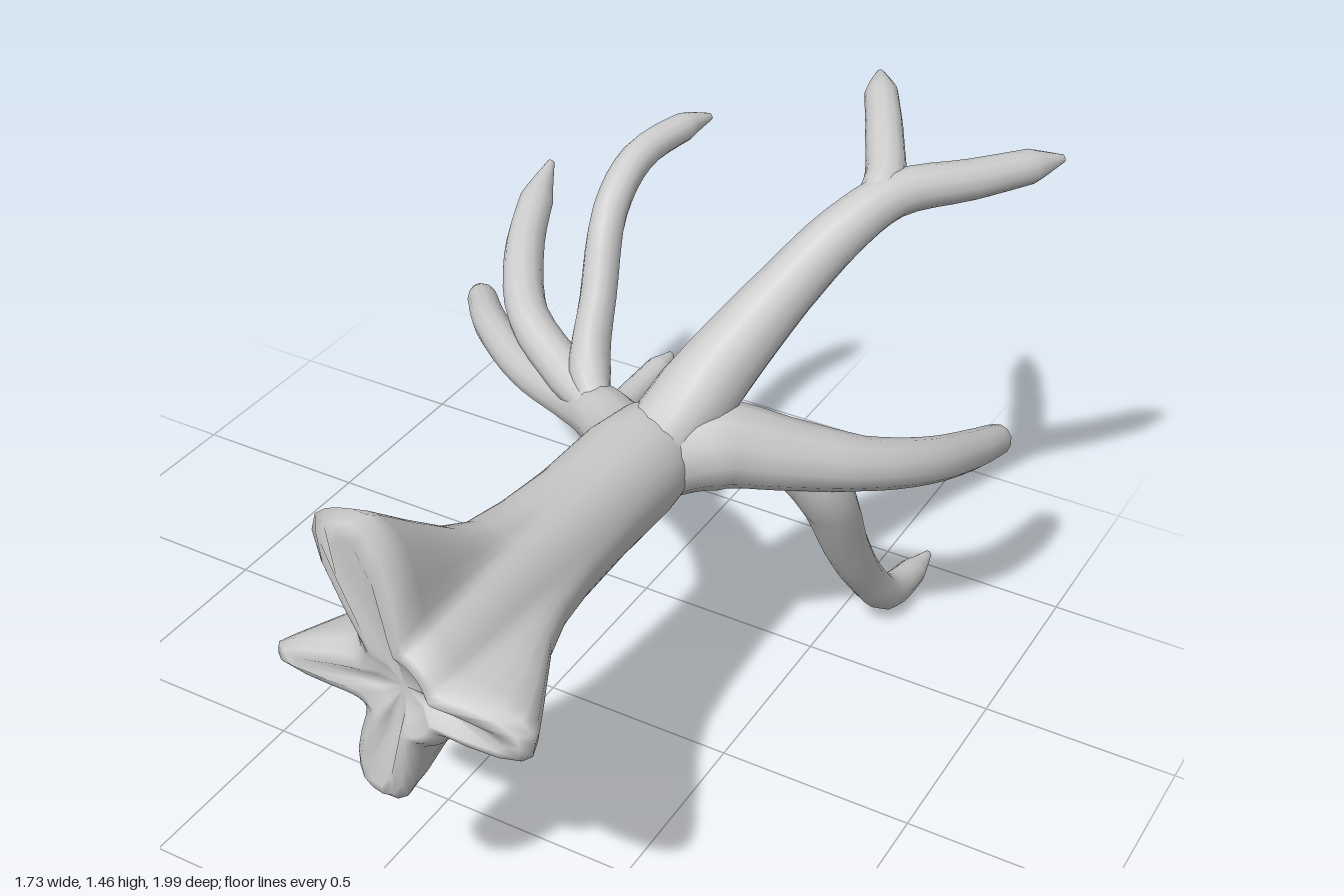
import * as THREE from 'three';

const material = new THREE.MeshStandardMaterial({ color: 0xcccccc });

// Closed skin over rings of points that run counterclockwise about the direction of travel
function skin(rings, startCentre, endCentre) {
  const n = rings[0].length, last = (rings.length - 1) * n;
  const points = [...rings.flat(), startCentre, endCentre];
  const s = points.length - 2, e = s + 1, index = [];
  for (let i = 0; i < rings.length - 1; i++) {
    for (let j = 0; j < n; j++) {
      const k = (j + 1) % n;
      const a = i * n + j, b = i * n + k, c = b + n, d = a + n;
      index.push(a, b, c, a, c, d);
    }
  }
  for (let j = 0; j < n; j++) {
    const k = (j + 1) % n;
    index.push(s, k, j, e, last + j, last + k);
  }
  const geometry = new THREE.BufferGeometry().setFromPoints(points);
  geometry.setIndex(index);
  geometry.computeVertexNormals();
  return geometry;
}

// Tapered limb through stations [x, y, z, radius]
function limb(name, stations) {
  const curve = new THREE.CatmullRomCurve3(stations.map(([x, y, z]) => new THREE.Vector3(x, y, z)));
  const spans = stations.length - 1, steps = spans * 4, sides = 12;
  const up = new THREE.Vector3(0, 1, 0), rings = [];
  for (let i = 0; i <= steps; i++) {
    const t = i / steps, k = Math.min(Math.floor(t * spans), spans - 1);
    const r = THREE.MathUtils.lerp(stations[k][3], stations[k + 1][3], t * spans - k);
    const p = curve.getPoint(t), dir = curve.getTangent(t);
    const u = new THREE.Vector3().crossVectors(up, dir).normalize();
    const v = new THREE.Vector3().crossVectors(dir, u);
    rings.push(Array.from({ length: sides }, (_, j) => {
      const a = (j / sides) * Math.PI * 2;
      return p.clone().addScaledVector(u, r * Math.cos(a)).addScaledVector(v, r * Math.sin(a));
    }));
  }
  const mesh = new THREE.Mesh(skin(rings, curve.getPoint(0), curve.getPoint(1)), material);
  mesh.name = name;
  return mesh;
}

// Root lobes: angle in degrees, reach, half width in radians, bluntness
const roots = [
  [0, 0.335, 0.34, 3],
  [110, 0.43, 0.43, 4],
  [188, 0.36, 0.28, 1.5],
  [257, 0.335, 0.4, 3.2],
];

// Trunk that flares into four rounded roots at the front
function trunk() {
  const sides = 72;
  // z, centre x, centre y, radius, root flare, root width
  const stations = [
    [-0.25, 0.23, 0.77, 0.03, 0, 1],
    [-0.2, 0.225, 0.77, 0.085, 0, 1],
    [-0.12, 0.215, 0.765, 0.122, 0, 1],
    [0, 0.205, 0.757, 0.136, 0, 1],
    [0.2, 0.2, 0.755, 0.136, 0, 1],
    [0.4, 0.195, 0.755, 0.144, 0.03, 1],
    [0.55, 0.195, 0.755, 0.15, 0.1, 1],
    [0.67, 0.197, 0.76, 0.154, 0.26, 1],
    [0.8, 0.2, 0.76, 0.156, 0.58, 1],
    [0.9, 0.2, 0.76, 0.152, 0.86, 1],
    [0.945, 0.2, 0.76, 0.142, 1, 0.97],
    [0.968, 0.2, 0.76, 0.12, 1, 0.78],
    [0.978, 0.2, 0.76, 0.1, 0.95, 0.5],
    [0.95, 0.2, 0.76, 0.06, 0.4, 0.5],
  ];
  const rings = stations.map(([z, cx, cy, radius, flare, spread]) =>
    Array.from({ length: sides }, (_, j) => {
      const a = (j / sides) * Math.PI * 2;
      let r = radius;
      for (const [deg, reach, width, blunt] of roots) {
        const d = a - THREE.MathUtils.degToRad(deg);
        const gap = Math.abs(Math.atan2(Math.sin(d), Math.cos(d)));
        r += flare * (reach - 0.142) * Math.exp(-Math.pow(gap / (width * spread), blunt));
      }
      return new THREE.Vector3(cx + Math.cos(a) * r, cy + Math.sin(a) * r, z + 0.02 * flare * Math.cos(a));
    }));
  const mesh = new THREE.Mesh(
    skin(rings, new THREE.Vector3(0.23, 0.77, -0.26), new THREE.Vector3(0.2, 0.76, 0.94)), material);
  mesh.name = 'trunkWithRoots';
  return mesh;
}

export function createModel() {
  const group = new THREE.Group();
  group.name = 'branchingTrunk';
  group.add(
    trunk(),
    // Upper left limb and its fork
    limb('upperLeftLimb', [
      [0.21, 0.75, 0.1, 0.07], [0.235, 0.8, -0.09, 0.095], [0.275, 0.885, -0.21, 0.103], [0.335, 1.0, -0.31, 0.09],
      [0.405, 1.12, -0.41, 0.076], [0.485, 1.24, -0.52, 0.067], [0.565, 1.31, -0.64, 0.057],
      [0.7, 1.32, -0.79, 0.05], [0.8, 1.325, -0.92, 0.043], [0.855, 1.33, -0.99, 0.01]]),
    limb('upperLeftTwig', [
      [0.48, 1.22, -0.51, 0.03], [0.535, 1.32, -0.63, 0.05], [0.475, 1.385, -0.77, 0.047],
      [0.4, 1.425, -0.91, 0.042], [0.36, 1.44, -0.99, 0.01]]),
    // Lower left limb and its fork
    limb('lowerLeftLimb', [
      [0.21, 0.75, 0.1, 0.06], [0.24, 0.76, -0.07, 0.1], [0.34, 0.775, -0.19, 0.113], [0.49, 0.74, -0.29, 0.09],
      [0.64, 0.695, -0.41, 0.068], [0.74, 0.64, -0.58, 0.06], [0.785, 0.575, -0.78, 0.052],
      [0.8, 0.53, -0.92, 0.042], [0.805, 0.5, -0.98, 0.01]]),
    limb('lowerLeftBranch', [
      [0.46, 0.75, -0.27, 0.05], [0.55, 0.6, -0.38, 0.073], [0.57, 0.38, -0.5, 0.06],
      [0.585, 0.2, -0.62, 0.051], [0.605, 0.075, -0.74, 0.05], [0.615, 0.045, -0.9, 0.038],
      [0.625, 0.055, -0.985, 0.01]]),
    // Right limb and its four branches
    limb('rightLimb', [
      [0.2, 0.75, 0.1, 0.07], [0.15, 0.705, -0.08, 0.1], [0.06, 0.67, -0.23, 0.09],
      [-0.06, 0.645, -0.34, 0.078], [-0.2, 0.605, -0.42, 0.06], [-0.4, 0.57, -0.53, 0.052],
      [-0.64, 0.54, -0.73, 0.05], [-0.78, 0.5, -0.9, 0.043], [-0.855, 0.47, -0.985, 0.01]]),
    limb('rightOuterBranch', [
      [0, 0.66, -0.28, 0.03], [-0.19, 0.68, -0.405, 0.06], [-0.38, 0.75, -0.51, 0.056],
      [-0.5, 0.825, -0.68, 0.054], [-0.57, 0.89, -0.86, 0.048], [-0.6, 0.945, -0.99, 0.01]]),
    limb('rightUpperBranch', [
      [-0.02, 0.65, -0.29, 0.03], [-0.13, 0.72, -0.4, 0.055], [-0.165, 0.88, -0.5, 0.048],
      [-0.2, 1.07, -0.62, 0.046], [-0.195, 1.165, -0.75, 0.044], [-0.145, 1.2, -0.91, 0.038],
      [-0.11, 1.205, -0.99, 0.01]]),
    limb('rightLowerBranch', [
      [-0.02, 0.66, -0.29, 0.03], [-0.12, 0.58, -0.42, 0.048], [-0.15, 0.48, -0.53, 0.044],
      [-0.195, 0.425, -0.65, 0.044], [-0.21, 0.415, -0.8, 0.042], [-0.205, 0.43, -0.92, 0.037],
      [-0.2, 0.445, -0.985, 0.01]]),
  );
  return group;
}
